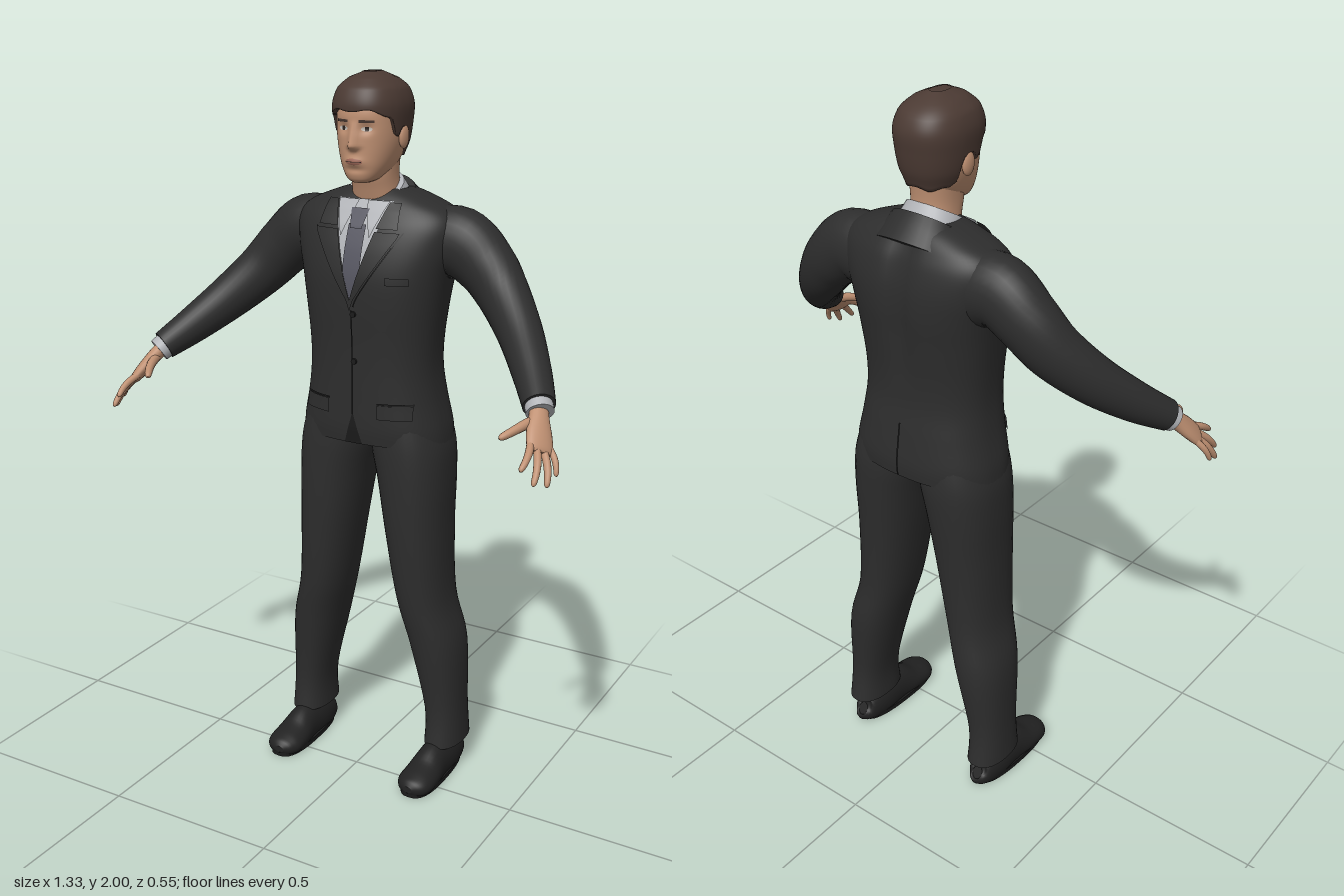
import * as THREE from 'three';

const mat = (name, color) => Object.assign(new THREE.MeshStandardMaterial({ color, side: THREE.DoubleSide }), { name });
const lerp = THREE.MathUtils.lerp, clamp = THREE.MathUtils.clamp;
const gauss = (v, w) => Math.exp(-(v * v) / (w * w));
const spow = (v, p) => Math.sign(v) * Math.abs(v) ** p;

// Smooth interpolation between rows i and i + 1
function blend(rows, i, k) {
  const r = j => rows[clamp(j, 0, rows.length - 1)];
  const [a, b, c, d] = [r(i - 1), r(i), r(i + 1), r(i + 2)];
  return b.map((v, n) => v + 0.5 * k * (c[n] - a[n] + k * (2 * a[n] - 5 * v + 4 * c[n] - d[n] + k * (3 * (v - c[n]) + d[n] - a[n]))));
}

// Row of a body profile at height y
function at(rows, y) {
  y = clamp(y, rows[0][0], rows.at(-1)[0]);
  let i = 0;
  while (i < rows.length - 2 && y > rows[i + 1][0]) i++;
  const row = blend(rows, i, (y - rows[i][0]) / (rows[i + 1][0] - rows[i][0]));
  row[0] = y;
  return row;
}

// Skin a list of point rows; closed rows may get flat end caps
function grid(rows, closed = true, caps = closed) {
  const n = rows[0].length, pos = rows.flat(2), idx = [];
  for (let i = 0; i < rows.length - 1; i++)
    for (let j = 0; j < (closed ? n : n - 1); j++) {
      const a = i * n + j, b = i * n + (j + 1) % n;
      idx.push(a, a + n, b, b, a + n, b + n);
    }
  if (caps) for (const [ring, top] of [[rows[0], false], [rows.at(-1), true]]) {
    const o = pos.length / 3;
    pos.push(...ring.flat(), ...[0, 1, 2].map(c => ring.reduce((s, p) => s + p[c], 0) / n));
    for (let j = 0; j < n; j++) {
      const a = o + j, b = o + (j + 1) % n;
      idx.push(o + n, top ? b : a, top ? a : b);
    }
  }
  const g = new THREE.BufferGeometry();
  g.setAttribute('position', new THREE.Float32BufferAttribute(pos, 3));
  g.setIndex(idx);
  g.computeVertexNormals();
  return g;
}

// Body profile rows: [y, half width, front z, back z, centre x]
function bodyPoint([y, rx, zf, zb, xc = 0], a, n, bump) {
  const s = Math.sin(a), x = xc + rx * spow(Math.cos(a), 2 / n);
  const z = (zf + zb) / 2 + (zf - zb) / 2 * spow(s, 2 / n);
  return [x, y, z + (bump ? bump(x, y, s) : 0)];
}
function body(rows, { n = 2.3, seg = 48, steps = 5, bump } = {}) {
  const out = [];
  for (let q = 0; q <= (rows.length - 1) * steps; q++) {
    const i = Math.min(Math.floor(q / steps), rows.length - 2);
    const row = blend(rows, i, q / steps - i);
    out.push(Array.from({ length: seg }, (_, j) => bodyPoint(row, j / seg * Math.PI * 2, n, bump)));
  }
  return grid(out);
}

// Tube along rows [x, y, z, width radius, thickness radius]
function limb(rows, { side, seg = 20, steps = 5, floor = -1, caps = true } = {}) {
  const V = r => new THREE.Vector3(r[0], r[1], r[2]), out = [], last = (rows.length - 1) * steps;
  const get = q => { const i = clamp(Math.floor(q / steps), 0, rows.length - 2); return blend(rows, i, q / steps - i); };
  for (let q = 0; q <= last; q++) {
    const r = get(q), t = V(get(Math.min(q + 0.3, last))).sub(V(get(Math.max(q - 0.3, 0)))).normalize();
    const u = side ? new THREE.Vector3(...side) : new THREE.Vector3(0, 1, 0).cross(t);
    u.addScaledVector(t, -u.dot(t)).normalize();
    const w = u.clone().cross(t);
    out.push(Array.from({ length: seg }, (_, j) => {
      const a = j / seg * Math.PI * 2;
      const p = V(r).addScaledVector(u, r[3] * Math.cos(a)).addScaledVector(w, r[4] * Math.sin(a));
      return [p.x, Math.max(p.y, floor), p.z];
    }));
  }
  return grid(out, true, caps);
}

// Thin panel laid on a surface between the edges l(y) and r(y)
function patch(surf, y0, y1, l, r, off, back = false, nx = 8, ny = 14) {
  const out = [];
  for (let i = 0; i <= ny; i++) {
    const y = lerp(y0, y1, i / ny), row = [];
    for (let j = 0; j <= nx; j++) {
      const x = back ? lerp(l(y), r(y), j / nx) : lerp(r(y), l(y), j / nx);
      row.push([x, y, surf(x, y, back) + (back ? -off : off)]);
    }
    out.push(row);
  }
  return grid(out, false);
}
const surface = (rows, n, bump) => (x, y, back) => {
  const [, rx, zf, zb] = at(rows, y), s = Math.max(0, 1 - Math.abs(x / rx) ** n) ** (1 / n) * (back ? -1 : 1);
  return (zf + zb) / 2 + (zf - zb) / 2 * s + bump(x, y, s);
};
function mirrored(geo) {
  const g = geo.clone().scale(-1, 1, 1), ix = g.index.array;
  for (let i = 0; i < ix.length; i += 3) [ix[i], ix[i + 2]] = [ix[i + 2], ix[i]];
  g.computeVertexNormals();
  return g;
}

export function createModel() {
  const root = new THREE.Group();
  const suit = mat('suit cloth', 0x2d2d2d), seam = mat('dark seam', 0x1b1b1b), leather = mat('shoe leather', 0x222222);
  const skin = mat('skin', 0xbf9072), hair = mat('hair', 0x4b3a33), shirt = mat('shirt cotton', 0xb0b2b6);
  const silk = mat('tie silk', 0x54545f), lip = mat('lips', 0xa06a5a), white = mat('eye white', 0xc8c0b8), dark = mat('iris', 0x2b221e);
  const add = (name, geo, m) => { const o = new THREE.Mesh(geo, m); o.name = name; root.add(o); return o; };
  const pair = (name, geo, m) => { add(name + 'Left', geo, m); add(name + 'Right', mirrored(geo), m); };
  const ball = (x, y, z, a, b, c) => new THREE.SphereGeometry(1, 20, 14).scale(a, b, c).translate(x, y, z);

  // Jacket body with a crease down the spine
  const torso = [[1.015, 0.218, 0.015, -0.27], [1.06, 0.213, 0.02, -0.272], [1.14, 0.196, 0.02, -0.262], [1.22, 0.186, 0.02, -0.25],
    [1.3, 0.188, 0.022, -0.25], [1.4, 0.2, 0.027, -0.26], [1.48, 0.214, 0.025, -0.269], [1.55, 0.232, 0.01, -0.268],
    [1.61, 0.238, -0.012, -0.255], [1.65, 0.212, -0.035, -0.237], [1.68, 0.145, -0.055, -0.22], [1.7, 0.085, -0.075, -0.2]];
  const crease = (x, y, s) => s < 0 ? 0.016 * gauss(x, 0.03) * clamp((y - 1.25) / 0.2, 0, 1) * -s : 0;
  const coat = surface(torso, 2.5, crease);
  add('jacket', body(torso, { n: 2.5, seg: 72, bump: crease }), suit);
  add('jacketCollar', limb([[0, 1.62, -0.18, 0.125, 0.085], [0, 1.655, -0.155, 0.112, 0.08], [0, 1.682, -0.135, 0.097, 0.074]], { seg: 32 }), suit);

  // Shirt front, tie and collar
  const vee = y => Math.max(0, 0.075 * (y - 1.42) / 0.245), tieHalf = y => Math.min(0.026, vee(y) + 0.002);
  add('shirtFront', patch(coat, 1.42, 1.675, y => -vee(y) - 0.004, y => vee(y) + 0.004, 0.005), shirt);
  add('tie', patch(coat, 1.42, 1.615, y => -tieHalf(y), tieHalf, 0.01), silk);
  add('tieKnot', patch(coat, 1.605, 1.655, y => -0.017 - (y - 1.605) * 0.2, y => 0.017 + (y - 1.605) * 0.2, 0.016), silk);
  add('shirtCollar', limb([[0, 1.645, -0.14, 0.092, 0.076], [0, 1.68, -0.12, 0.086, 0.073], [0, 1.705, -0.105, 0.077, 0.07]], { seg: 32 }), shirt);
  pair('collarWing', patch(coat, 1.585, 1.675, y => lerp(0.042, 0.012, (y - 1.585) / 0.09), y => lerp(0.044, 0.076, (y - 1.585) / 0.09), 0.014), shirt);

  // Lapels, pockets, buttons and seams
  pair('lapel', patch(coat, 1.39, 1.6, vee, y => vee(y) + 0.07 * Math.min(1, (y - 1.39) / 0.2), 0.014), suit);
  pair('upperLapel', patch(coat, 1.608, 1.672, vee, y => lerp(0.118, 0.108, (y - 1.608) / 0.064), 0.014), suit);
  pair('lapelEdge', patch(coat, 1.4, 1.6, y => vee(y) + 0.07 * (y - 1.39) / 0.2, y => vee(y) + 0.07 * (y - 1.39) / 0.2 + 0.004, 0.004), seam);
  pair('pocketFlap', patch(coat, 1.095, 1.135, () => 0.075, () => 0.165, 0.007), suit);
  pair('pocketSeam', patch(coat, 1.135, 1.14, () => 0.073, () => 0.167, 0.005), seam);
  add('chestPocket', patch(coat, 1.465, 1.485, () => 0.095, () => 0.155, 0.005), suit);
  add('frontSeam', patch(coat, 1.1, 1.39, () => -0.002, () => 0.002, 0.004), seam);
  add('frontOpening', patch(coat, 1.016, 1.1, y => -0.002 - (1.1 - y) * 0.3, y => 0.002 + (1.1 - y) * 0.3, 0.003), seam);
  add('backVent', patch(coat, 1.02, 1.17, () => -0.003, () => 0.002, 0.004, true), seam);
  for (const y of [1.38, 1.25])
    add('button', new THREE.CylinderGeometry(0.008, 0.008, 0.006, 16).rotateX(Math.PI / 2).translate(0.006, y, coat(0, y) + 0.005), seam);

  // Sleeves and cuffs
  pair('sleeve', limb([[0.15, 1.555, -0.145, 0.085, 0.1], [0.235, 1.563, -0.146, 0.08, 0.095], [0.31, 1.51, -0.143, 0.074, 0.083],
    [0.375, 1.44, -0.12, 0.066, 0.074], [0.45, 1.362, -0.06, 0.058, 0.064], [0.52, 1.29, 0.022, 0.05, 0.053],
    [0.575, 1.235, 0.1, 0.042, 0.041]], { seg: 28, steps: 6 }), suit);
  pair('cuff', limb([[0.565, 1.245, 0.087, 0.036, 0.036], [0.584, 1.222, 0.113, 0.036, 0.034]]), shirt);

  // Hands: palm, four fingers and a thumb
  const across = [-0.6, 0.3, 0.75];
  pair('palm', limb([[0.57, 1.24, 0.092, 0.024, 0.02], [0.585, 1.215, 0.122, 0.027, 0.02], [0.602, 1.182, 0.157, 0.036, 0.018],
    [0.616, 1.155, 0.183, 0.037, 0.014], [0.621, 1.146, 0.192, 0.03, 0.008]], { side: across }), skin);
  const fingers = { index: [[0.599, 1.165, 0.203], [0.605, 1.122, 0.275]], middle: [[0.614, 1.153, 0.195], [0.634, 1.086, 0.262]],
    ring: [[0.626, 1.146, 0.179], [0.655, 1.076, 0.228]], little: [[0.634, 1.148, 0.16], [0.661, 1.092, 0.186]], thumb: [[0.577, 1.208, 0.135], [0.53, 1.18, 0.235]] };
  for (const [name, [a, b]] of Object.entries(fingers)) {
    const big = name === 'thumb' ? 1.3 : name === 'little' ? 0.85 : 1;
    const rows = [[-0.15, 0.0095], [0.3, 0.0098], [0.65, 0.0088], [0.92, 0.007], [1, 0.002]].map(([k, r]) =>
      [lerp(a[0], b[0], k) + 0.006 * Math.sin(k * 3), lerp(a[1], b[1], k) + 0.004 * Math.sin(k * 3), lerp(a[2], b[2], k), r * big, r * big]);
    pair(name === 'thumb' ? 'thumb' : name + 'Finger', limb(rows, { side: across, seg: 12, steps: 3 }), skin);
  }

  // Trousers and shoes
  pair('trouserLeg', body([[0.088, 0.055, -0.052, -0.236, 0.228], [0.2, 0.054, -0.06, -0.225, 0.224], [0.4, 0.073, -0.036, -0.24, 0.197],
    [0.55, 0.074, -0.015, -0.232, 0.161], [0.75, 0.087, 0, -0.242, 0.139], [0.9, 0.1, 0.005, -0.255, 0.126],
    [1, 0.109, 0.005, -0.26, 0.112], [1.08, 0.1, 0, -0.25, 0.1]], { seg: 36 }), suit);
  pair('shoe', limb([[0.223, 0.04, -0.212, 0.015, 0.02], [0.223, 0.035, -0.2, 0.036, 0.045], [0.223, 0.035, -0.14, 0.046, 0.066],
    [0.223, 0.035, -0.06, 0.046, 0.066], [0.223, 0.028, 0, 0.053, 0.045], [0.222, 0.024, 0.05, 0.053, 0.035],
    [0.22, 0.024, 0.077, 0.038, 0.025], [0.219, 0.024, 0.09, 0.015, 0.01]], { seg: 32, floor: 0.004 }), leather);
  const sole = new THREE.Shape(Array.from({ length: 40 }, (_, i) => {
    const a = i / 40 * Math.PI * 2, z = -0.06 + 0.148 * spow(Math.sin(a), 0.8);
    return new THREE.Vector2(0.222 + (0.05 + 0.05 * (z + 0.06) * 0.6) * spow(Math.cos(a), 0.7), -z);
  }));
  for (const side of [1, -1]) {
    const g = new THREE.ExtrudeGeometry(sole, { depth: 0.014, bevelEnabled: false }).rotateX(-Math.PI / 2);
    if (side < 0) g.translate(-0.444, 0, 0);
    add(side > 0 ? 'soleLeft' : 'soleRight', g, seam);
  }

  // Neck and head, with nose, eye sockets and mouth shaped on the front
  add('neck', body([[1.64, 0.07, -0.06, -0.18], [1.7, 0.062, -0.042, -0.17], [1.74, 0.06, -0.03, -0.165], [1.79, 0.062, -0.03, -0.17]]), skin);
  const head = [[1.722, 0.022, -0.005, -0.05], [1.732, 0.042, 0.006, -0.09], [1.757, 0.061, 0.013, -0.14], [1.79, 0.075, 0.015, -0.17],
    [1.83, 0.084, 0.016, -0.185], [1.87, 0.086, 0.018, -0.19], [1.91, 0.085, 0.015, -0.19], [1.95, 0.075, -0.005, -0.175], [1.98, 0.04, -0.04, -0.13]];
  const face = (x, y, s) => {
    if (s <= 0) return 0;
    const nose = y > 1.816 ? clamp((1.882 - y) / 0.066, 0, 1) : clamp((y - 1.802) / 0.014, 0, 1);
    return s * (0.024 * nose * gauss(x, 0.009 + 0.006 * nose) - 0.009 * gauss(Math.abs(x) - 0.033, 0.018) * gauss(y - 1.862, 0.014)
      + 0.006 * gauss(x, 0.026) * gauss(y - 1.778, 0.011) - 0.004 * gauss(x, 0.03) * gauss(y - 1.757, 0.008));
  };
  const front = surface(head, 2.3, face);
  add('head', body(head, { seg: 96, steps: 8, bump: face }), skin);
  const lips = y => 0.025 * Math.sqrt(Math.max(0, 1 - ((y - 1.778) / 0.0085) ** 2));
  add('lips', patch(front, 1.7695, 1.7865, y => -lips(y), lips, 0.0015), lip);
  add('mouthLine', patch(front, 1.7772, 1.7788, () => -0.023, () => 0.023, 0.0025), dark);
  const lid = y => 0.014 * Math.sqrt(Math.max(0, 1 - ((y - 1.861) / 0.006) ** 2));
  pair('eye', patch(front, 1.855, 1.867, y => 0.034 - lid(y), y => 0.034 + lid(y), 0.0015), white);
  pair('iris', patch(front, 1.856, 1.867, () => 0.029, () => 0.039, 0.0025), dark);
  pair('eyebrow', patch(front, 1.877, 1.884, () => 0.016, () => 0.054, 0.002), hair);
  pair('ear', ball(0.089, 1.838, -0.09, 0.011, 0.032, 0.021), skin);

  // Hair cap whose lower edge runs round the forehead, ears and nape
  const cap = [[1.775, 0.073, 0.02, -0.178], [1.82, 0.088, 0.024, -0.194], [1.87, 0.095, 0.027, -0.203], [1.92, 0.097, 0.031, -0.207],
    [1.96, 0.084, 0.016, -0.19], [1.985, 0.056, -0.015, -0.155], [2, 0.02, -0.05, -0.115]];
  const hairline = [[-1, 1.78], [-0.5, 1.782], [-0.3, 1.8], [-0.16, 1.86], [0.1, 1.862], [0.18, 1.835], [0.32, 1.845], [0.46, 1.89], [0.7, 1.9], [1, 1.908]];
  const rows = [];
  for (let i = -1; i <= 24; i++)
    rows.push(Array.from({ length: 96 }, (_, j) => {
      const a = j / 96 * Math.PI * 2, s = Math.sin(a);
      const k = clamp(hairline.findIndex(h => h[0] > s) - 1, 0, hairline.length - 2), [p, q] = [hairline[k], hairline[k + 1]];
      const edge = (s >= 1 ? 1.908 : lerp(p[1], q[1], (s - p[0]) / (q[0] - p[0]))) + 0.004 * Math.sin(a * 7);
      const y = lerp(edge, 2, Math.max(i, 0) / 24);
      return bodyPoint(at(i < 0 ? head : cap, y), a, 2.3);
    }));
  const hairGeo = grid(rows, true, false);
  add('hair', hairGeo, hair);
  add('crown', ball(0, 1.994, -0.0825, 0.028, 0.006, 0.04), hair);
  return root;
}
